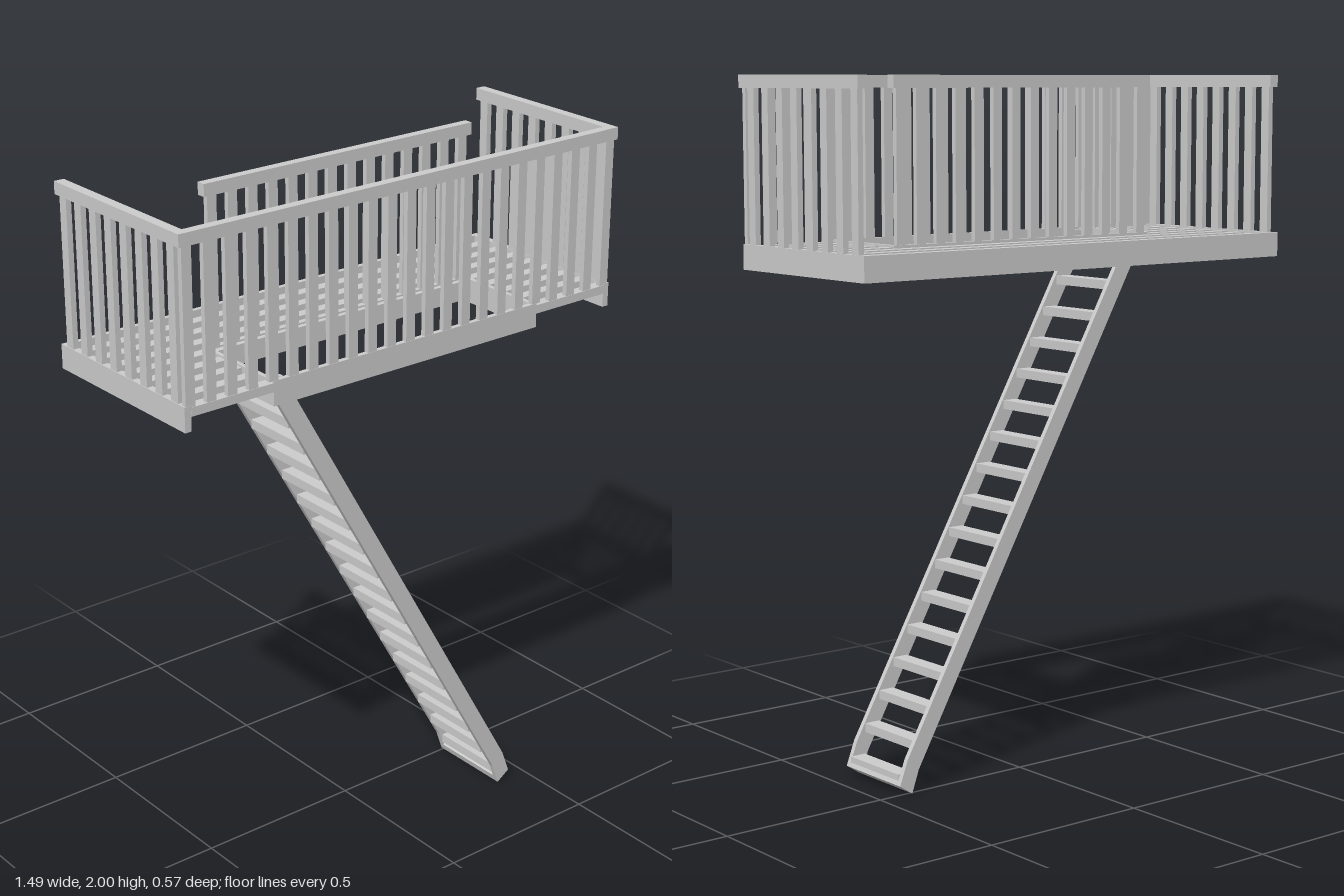
import * as THREE from 'three';

const material = new THREE.MeshStandardMaterial({ color: 0xcccccc, flatShading: true });

// Box given by its lower and upper corners
function board(parent, name, [x0, y0, z0], [x1, y1, z1]) {
  const mesh = new THREE.Mesh(new THREE.BoxGeometry(x1 - x0, y1 - y0, z1 - z0), material);
  mesh.position.set((x0 + x1) / 2, (y0 + y1) / 2, (z0 + z1) / 2);
  mesh.name = name;
  parent.add(mesh);
}

// Outline in x and y, extruded from z0 to z1
function plate(parent, name, points, z0, z1) {
  const shape = new THREE.Shape(points.map(([x, y]) => new THREE.Vector2(x, y)));
  const geometry = new THREE.ExtrudeGeometry(shape, { depth: z1 - z0, bevelEnabled: false });
  geometry.translate(0, 0, z0);
  const mesh = new THREE.Mesh(geometry, material);
  mesh.name = name;
  parent.add(mesh);
}

function section(parent, name) {
  const group = new THREE.Group();
  group.name = name;
  parent.add(group);
  return group;
}

const RIM_LOW = 1.475, RIM_TOP = 1.545, RAIL_LOW = 1.965, RAIL_TOP = 2;
const SLAT_LOW = 1.515, SLAT_TOP = 1.54;

export function createModel() {
  const model = new THREE.Group();
  model.name = 'loftPlatform';

  // Outer frame
  const frame = section(model, 'frame');
  board(frame, 'backBoard', [-0.74, RIM_LOW, -0.287], [0.74, RIM_TOP, -0.272]);
  for (const [a, b] of [[-0.74, -0.72], [0.72, 0.74]]) {
    board(frame, 'sideBoard', [a, RIM_LOW, -0.272], [b, RIM_TOP, 0.28]);
  }

  // Frame around the stair opening
  board(frame, 'openingFrontBoard', [-0.46, RIM_LOW, 0.265], [0.46, RIM_TOP, 0.28]);
  board(frame, 'openingBackBoard', [-0.46, RIM_LOW, -0.03], [0.46, RIM_TOP, -0.012]);
  for (const [a, b] of [[-0.46, -0.447], [0.447, 0.46]]) {
    board(frame, 'openingSideBoard', [a, RIM_LOW, -0.012], [b, RIM_TOP, 0.265]);
  }

  // Deck slats, split in two beside the opening
  const deck = section(model, 'deck');
  for (let i = 0; i < 8; i++) {
    const z = -0.22 + i * 0.0692;
    const spans = i < 4 ? [[-0.72, 0.72]] : [[-0.72, -0.46], [0.46, 0.72]];
    for (const [a, b] of spans) {
      board(deck, 'deckSlat', [a, SLAT_LOW, z - 0.016], [b, SLAT_TOP, z + 0.016]);
    }
  }

  // Front railing
  const front = section(model, 'frontRailing');
  board(front, 'topRail', [-0.745, RAIL_LOW, 0.255], [0.745, RAIL_TOP, 0.283]);
  for (let i = -11; i <= 11; i++) {
    const x = i * 0.0655;
    const low = Math.abs(x) < 0.46 ? RIM_TOP : SLAT_TOP;
    board(front, 'baluster', [x - 0.015, low, 0.264], [x + 0.015, RAIL_LOW, 0.279]);
  }

  // Side railings
  for (const s of [-1, 1]) {
    const side = section(model, s > 0 ? 'leftRailing' : 'rightRailing');
    const x = s * 0.73;
    board(side, 'topRail', [x - 0.015, RAIL_LOW, -0.273], [x + 0.015, RAIL_TOP, 0.255]);
    for (let i = 0; i < 8; i++) {
      const z = 0.235 - i * 0.0687;
      board(side, 'baluster', [x - 0.008, RIM_TOP, z - 0.015], [x + 0.008, RAIL_LOW, z + 0.015]);
    }
  }

  // Inner railing behind the stair opening
  const inner = section(model, 'innerRailing');
  board(inner, 'topRail', [-0.46, RAIL_LOW, -0.035], [0.46, RAIL_TOP, -0.008]);
  for (let i = 0; i < 14; i++) {
    const x = (i - 6.5) * 0.0665;
    board(inner, 'baluster', [x - 0.015, RIM_TOP, -0.028], [x + 0.015, RAIL_LOW, -0.013]);
  }

  // Stair: two stringers, treads and a foot board
  const stair = section(model, 'stair');
  const outline = [
    [-0.44, 1.49], [0.372, 0.065], [0.395, 0], [0.437, 0.028],
    [0.41, 0.1], [-0.41, 1.54], [-0.44, 1.54],
  ];
  plate(stair, 'stringer', outline, -0.008, 0.007);
  plate(stair, 'stringer', outline, 0.238, 0.253);
  for (let i = 0; i < 17; i++) {
    const y = 0.045 + i * 0.0898;
    const x = 0.408 - i * 0.0512;
    board(stair, 'tread', [x - 0.024, y - 0.013, 0.007], [x + 0.024, y + 0.013, 0.238]);
  }
  plate(stair, 'footBoard', [[0.388, 0.02], [0.395, 0], [0.437, 0.028], [0.43, 0.045]], 0.007, 0.238);

  return model;
}
